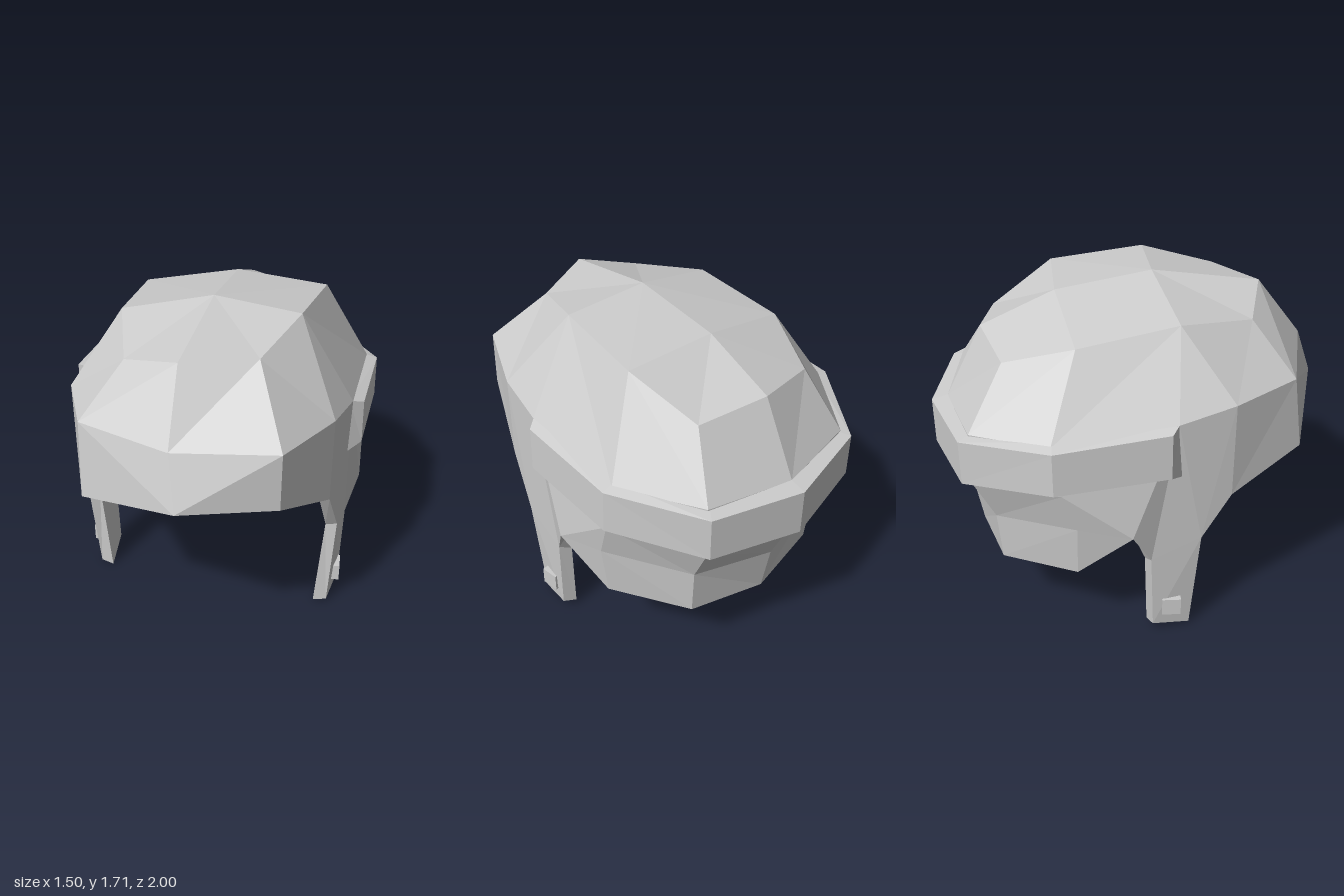
import * as THREE from 'three';

const material = new THREE.MeshStandardMaterial({ color: 0xcccccc, flatShading: true });

// Collects quads (any collapsed to triangles) into one faceted mesh.
class Facets {
  constructor() { this.pos = []; }
  tri(a, b, c) {
    const same = (p, q) => p.every((v, i) => Math.abs(v - q[i]) < 1e-6);
    if (!same(a, b) && !same(b, c) && !same(a, c)) this.pos.push(...a, ...b, ...c);
  }
  quad(a, b, c, d, flip = false) {
    if (flip) [b, d] = [d, b];
    this.tri(a, b, c);
    this.tri(a, c, d);
  }
  // Skin columns (front to back), each a list of points from top to bottom.
  // turned(i, j) picks the quads split along their other diagonal.
  skin(cols, flip, turned = () => false) {
    for (let i = 0; i < cols.length - 1; i++)
      for (let j = 0; j < cols[i].length - 1; j++) {
        const q = [cols[i][j], cols[i][j + 1], cols[i + 1][j + 1], cols[i + 1][j]];
        if (turned(i, j)) q.push(q.shift());
        this.quad(...q, flip);
      }
  }
  mesh(name) {
    const g = new THREE.BufferGeometry();
    g.setAttribute('position', new THREE.Float32BufferAttribute(this.pos, 3));
    g.computeVertexNormals();
    const m = new THREE.Mesh(g, material);
    m.name = name;
    return m;
  }
}

const mirror = ([x, y, z]) => [-x, y, z];

// Moves a point towards the vertical axis, down, and optionally back.
function inset([x, y, z], inward, drop, back = 0) {
  const k = 1 - inward / Math.hypot(x, z);
  return [x * k, y - drop, z * k - back];
}

// Strap root, shared by the shell rim and the strap.
const THICKNESS = 0.065, STRAP_BACK_SLANT = 0.02;
const strapFront = [0.68, 0.57, 0.25], strapBack = [0.69, 0.47, 0];

// Columns of one half: crown, upper ring, middle ring, lower crease, flare crease, rim.
function shellColumns(left) {
  const crownFront = [0, 1.71, 0.12], crownBack = [0, 1.64, -0.36];
  const ring = left
    ? [[0.31, 1.61, 0.5], [0.43, 1.68, 0.15], [0.47, 1.62, -0.33]]
    : [[0.31, 1.55, 0.55], [0.45, 1.61, 0.17], [0.48, 1.545, -0.32]];
  const forehead = left ? [0.48, 1.31, 0.78] : [0.48, 1.3, 0.735];
  const brow = left ? [0.48, 1.02, 0.79] : [0.47, 0.92, 0.79];
  const temple = left ? [0.65, 0.83, 0.4] : [0.65, 0.79, 0.4];
  const ear = [0.695, 1.23, 0.12];
  const front = (upper, mid, rim) => [crownFront, upper, mid, rim, rim, rim];
  const cols = [
    front([-0.02, 1.63, 0.66], [0, 1.32, 0.9], [0.05, 1.065, 1]),
    front(ring[0], forehead, brow),
    front(ring[1], [0.65, 1.28, 0.4], temple),
    front(ring[1], ear, strapFront),
    front(ring[1], ear, strapBack),
    front(ring[1], ear, [0.74, 0.65, -0.1]),
    [crownBack, ring[2], [0.695, 1.17, -0.47], [0.705, 0.91, -0.43], [0.69, 0.7, -0.36], [0.655, 0.42, -0.36]],
    [crownBack, [0.345, 1.44, -0.65], [0.445, 1.13, -0.83], [0.44, 0.85, -0.83], [0.42, 0.64, -0.73], [0.41, 0.38, -0.71]],
    [crownBack, [0, 1.48, -0.73], [0, 1.11, -0.92], [0, 0.83, -0.93], [0, 0.6, -0.835], [0, 0.34, -0.79]],
  ];
  if (left) return cols;
  // The two centre columns are shared, so only those between are mirrored.
  return cols.map((c, i) => (i === 0 || i === 8 ? c : c.map(mirror)));
}

function buildShell() {
  const f = new Facets();
  const rimDrop = [0.03, 0.03, 0.03, 0.03, 0.03, 0.015, 0.01, 0.015, 0.035];
  for (const left of [true, false]) {
    const outer = shellColumns(left);
    // The lining runs straight from the middle ring to the rim.
    const inner = outer.map((c, i) => [
      inset(c[0], 0, 0.06),
      inset(c[1], 0.035, 0.05),
      inset(c[2], THICKNESS, 0.02),
      inset(c[5], THICKNESS, rimDrop[i], i === 4 ? STRAP_BACK_SLANT : 0),
    ]);
    f.skin(outer, !left, (i, j) => i === 0 && (j === 2 || (left && j === 1)));
    f.skin(inner, left);
    // Rim thickness
    for (let i = 0; i < 8; i++)
      f.quad(outer[i][5], inner[i][3], inner[i + 1][3], outer[i + 1][5], !left);
  }
  return f.mesh('helmetShell');
}

// Raised band that wraps from ear to ear around the back.
function buildBand() {
  const f = new Facets();
  const half = [
    [[0.68, 1.235, 0.13], [0.745, 1.21, 0.08], [0.75, 0.98, 0.08], [0.69, 0.95, 0.14]],
    [[0.67, 1.185, -0.46], [0.745, 1.165, -0.47], [0.75, 0.945, -0.47], [0.68, 0.905, -0.42]],
    [[0.42, 1.13, -0.81], [0.47, 1.11, -0.88], [0.47, 0.88, -0.88], [0.43, 0.845, -0.82]],
    [[0, 1.115, -0.91], [0, 1.09, -1], [0, 0.85, -1], [0, 0.82, -0.92]],
  ];
  for (const left of [true, false]) {
    const cols = left ? half : half.map((c) => c.map(mirror));
    f.skin(cols, !left);
    const [a, b, c, d] = cols[0];
    f.quad(a, d, c, b, !left);
  }
  return f.mesh('rearBand');
}

// Chin strap hanging below the ear, with a small square stud.
function buildStrap(left) {
  const group = new THREE.Group();
  group.name = left ? 'leftStrap' : 'rightStrap';
  let cols = [
    [strapFront, [0.65, 0.01, 0.21]],
    [strapBack, [0.68, 0.05, 0.015]],
    [inset(strapBack, THICKNESS, 0.03, STRAP_BACK_SLANT), [0.61, 0.03, -0.005]],
    [inset(strapFront, THICKNESS, 0.03), [0.58, 0, 0.22]],
  ];
  if (!left) cols = cols.map((c) => c.map(mirror));
  const f = new Facets();
  f.skin([...cols, cols[0]], !left);
  f.quad(cols[0][1], cols[3][1], cols[2][1], cols[1][1], !left);
  group.add(f.mesh('strap'));

  const s = left ? 1 : -1;
  const stud = new THREE.Mesh(new THREE.BoxGeometry(0.06, 0.095, 0.095), material);
  stud.name = 'stud';
  stud.position.set(s * 0.668, 0.16, 0.11);
  stud.rotation.y = s * 0.12;
  group.add(stud);
  return group;
}

export function createModel() {
  const model = new THREE.Group();
  model.name = 'helmet';
  model.add(buildShell(), buildBand(), buildStrap(true), buildStrap(false));
  return model;
}
